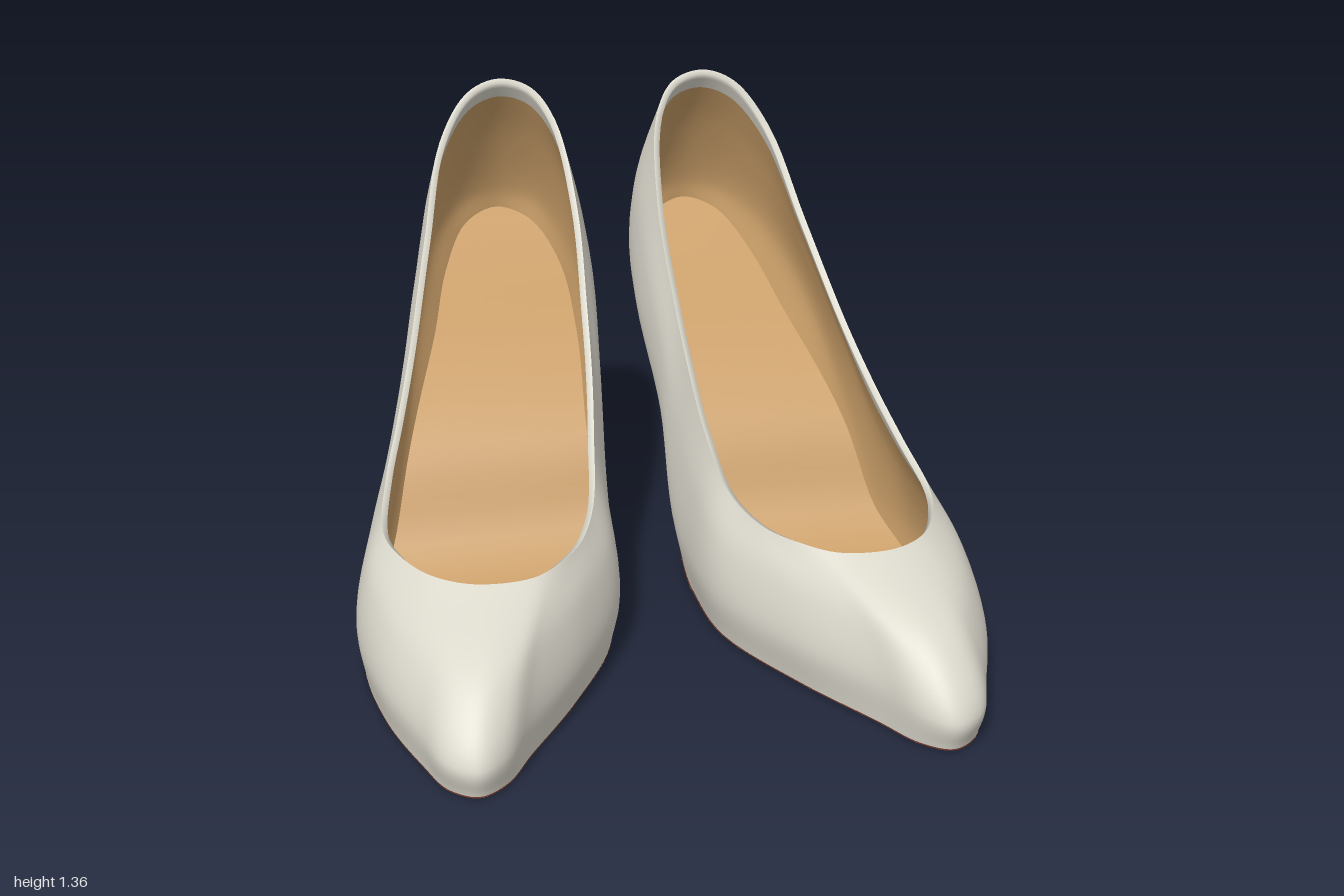
import * as THREE from 'three';

// Stations from toe to back: [z, outer x, outer y, inner x, inner y]
const FEATHER = [
  [0.98, 0.61, 0.009, 0.61, 0.009], [0.935, 0.68, 0.009, 0.535, 0.009], [0.81, 0.733, 0.009, 0.455, 0.009],
  [0.58, 0.803, 0.009, 0.305, 0.009], [0.28, 0.836, 0.009, 0.155, 0.009], [-0.02, 0.78, 0.009, 0.125, 0.009],
  [-0.16, 0.715, 0.075, 0.12, 0.075], [-0.31, 0.645, 0.345, 0.122, 0.345], [-0.565, 0.54, 0.57, 0.095, 0.57],
  [-0.80, 0.475, 0.73, 0.10, 0.73], [-0.95, 0.395, 0.84, 0.175, 0.84], [-1, 0.285, 0.88, 0.285, 0.88]];
const LOW = [
  [1.0, 0.61, 0.09, 0.61, 0.09], [0.955, 0.69, 0.10, 0.535, 0.10], [0.82, 0.742, 0.12, 0.45, 0.12],
  [0.58, 0.82, 0.13, 0.28, 0.13], [0.28, 0.853, 0.14, 0.13, 0.14], [-0.02, 0.80, 0.15, 0.10, 0.16],
  [-0.15, 0.735, 0.21, 0.09, 0.22], [-0.29, 0.67, 0.45, 0.085, 0.46], [-0.56, 0.592, 0.72, 0.057, 0.73],
  [-0.80, 0.515, 0.86, 0.085, 0.86], [-0.945, 0.41, 0.935, 0.165, 0.935], [-0.985, 0.285, 0.96, 0.285, 0.96]];
const HIGH = [
  [0.87, 0.58, 0.25, 0.58, 0.25], [0.835, 0.655, 0.25, 0.50, 0.25], [0.72, 0.715, 0.257, 0.415, 0.257],
  [0.51, 0.787, 0.265, 0.27, 0.27], [0.25, 0.82, 0.28, 0.145, 0.29], [0, 0.78, 0.31, 0.115, 0.36],
  [-0.13, 0.73, 0.40, 0.10, 0.45], [-0.27, 0.665, 0.60, 0.085, 0.65], [-0.52, 0.58, 0.87, 0.07, 0.90],
  [-0.74, 0.51, 1.04, 0.095, 1.06], [-0.85, 0.41, 1.14, 0.18, 1.15], [-0.885, 0.29, 1.175, 0.29, 1.175]];
const RIM = [
  [0.565, 0.487, 0.375, 0.487, 0.375], [0.547, 0.575, 0.373, 0.40, 0.375], [0.48, 0.66, 0.37, 0.325, 0.375],
  [0.36, 0.725, 0.367, 0.245, 0.375], [0.2, 0.765, 0.375, 0.185, 0.41], [0.02, 0.737, 0.45, 0.152, 0.52],
  [-0.11, 0.69, 0.56, 0.133, 0.65], [-0.26, 0.635, 0.71, 0.12, 0.80], [-0.48, 0.56, 0.96, 0.11, 1.04],
  [-0.665, 0.487, 1.20, 0.142, 1.25], [-0.737, 0.395, 1.325, 0.205, 1.335], [-0.755, 0.30, 1.36, 0.30, 1.36]];

// Where the heel breast meets the sole on each side, around the outline
const HEEL_OUTER = 8.2 / 22, HEEL_INNER = 7.9 / 22;
const TIP = { x: 0.30, z: -0.713, r: 0.033 };
const lerp = THREE.MathUtils.lerp;

// Closed curve: toe, outer side, back, inner side
function outline(stations) {
  const outer = stations.map(([z, x, y]) => new THREE.Vector3(x, y, z));
  const inner = stations.slice(1, -1).reverse().map(([z, , , x, y]) => new THREE.Vector3(x, y, z));
  return new THREE.CatmullRomCurve3([...outer, ...inner], true);
}
const outlines = [FEATHER, LOW, HIGH, RIM].map(outline);

function feather(u) {
  const p = outlines[0].getPoint((u + 1) % 1);
  p.y = Math.max(p.y, 0.009);
  return p;
}

// Underside of the sole: thin at the toe, thicker under the arch
function soleBottom(u) {
  const p = feather(u);
  p.y -= lerp(0.004, 0.012, THREE.MathUtils.smoothstep(Math.abs(u), 0.17, 0.24));
  p.y = Math.max(p.y, 0);
  return p;
}

// Point on the upper: u runs around the foot, v from sole to rim
function upperPoint(u, v) {
  const w = (u + 1) % 1;
  const column = outlines.map((c, i) => (i === 0 ? feather(w) : c.getPoint(w)));
  return new THREE.CatmullRomCurve3(column).getPoint(v);
}

// Same surface moved inward by the leather thickness
function liningPoint(u, v) {
  const e = 0.004;
  const du = upperPoint(u + e, v).sub(upperPoint(u - e, v));
  const dv = upperPoint(u, Math.min(1, v + e)).sub(upperPoint(u, Math.max(0, v - e)));
  return upperPoint(u, v).addScaledVector(du.cross(dv).normalize(), -0.018);
}

// Heel wall: s runs outer front, back, inner front; t from tip to seat
function heelPoint(s, t) {
  const top = feather(lerp(HEEL_OUTER, 1 - HEEL_INNER, s));
  const a = lerp(-30, 230, s) * Math.PI / 180;
  const front = Math.abs(2 * s - 1);
  const fullness = 1 + 1.3 * Math.sin(Math.PI * front) ** 2 * (1 - t);
  const flare = Math.pow(t, 2.6 + 5.4 * front ** 4) * fullness;
  return new THREE.Vector3(
    lerp(TIP.x + TIP.r * Math.cos(a), top.x, flare),
    lerp(0.025, top.y, t),
    lerp(TIP.z - TIP.r * Math.sin(a), top.z, flare));
}

// Surface grid from a rule; closed grids share their first and last column
function grid(cols, rows, rule, closed = false) {
  const pos = [], index = [], n = closed ? cols : cols + 1;
  for (let j = 0; j <= rows; j++)
    for (let i = 0; i < n; i++) pos.push(...rule(i / cols, j / rows).toArray());
  for (let j = 0; j < rows; j++)
    for (let i = 0; i < cols; i++) {
      const k = (i + 1) % n, a = j * n + i, b = j * n + k, c = b + n, d = a + n;
      index.push(a, b, c, a, c, d);
    }
  const g = new THREE.BufferGeometry();
  g.setAttribute('position', new THREE.Float32BufferAttribute(pos, 3));
  g.setIndex(index);
  g.computeVertexNormals();
  return g;
}

function mirrored(geometry) {
  const g = geometry.clone().scale(-1, 1, 1), ix = g.index;
  for (let i = 0; i < ix.count; i += 3) {
    const b = ix.getX(i + 1);
    ix.setX(i + 1, ix.getX(i + 2));
    ix.setX(i + 2, b);
  }
  return g;
}

export function createModel() {
  const material = (name, color) => {
    const m = new THREE.MeshStandardMaterial({ color, side: THREE.DoubleSide });
    m.name = name;
    return m;
  };
  const leather = material('pale grey leather', 0xdcd9cd);
  const tan = material('tan lining', 0xc99e68);
  const trim = material('dark red trim', 0x71382e);

  const parts = [];
  const part = (name, mat, geometry) => parts.push({ name, mat, geometry });

  // Upper, with its folded rim and lining
  part('upper', leather, grid(132, 24, upperPoint, true));
  part('rimFold', leather, grid(132, 4,
    (u, j) => (j === 0 ? upperPoint(u, 1) : liningPoint(u, Math.min(1, lerp(1.03, 0.91, j)))), true));
  part('lining', tan, grid(132, 18, (u, j) => liningPoint(u, 0.91 * (1 - j)), true));

  // Insole spanning the lining walls, padded where the arch starts to rise
  part('insole', tan, grid(66, 6, (i, w) => {
    const u = i / 2;
    const v = 0.06 + 0.14 * Math.exp(-(((u - 0.28) / 0.06) ** 2));
    return liningPoint(u, v).lerp(liningPoint(1 - u, v), w);
  }));

  // Outsole and its thin edge
  part('sole', tan, grid(66, 6, (i, w) =>
    soleBottom(-i * HEEL_INNER).lerp(soleBottom(i * HEEL_OUTER), w)));
  part('soleEdge', trim, grid(110, 1, (i, j) => {
    const u = lerp(-HEEL_INNER, HEEL_OUTER, i);
    return j === 0 ? soleBottom(u) : feather(u);
  }));

  // Heel wall, breast and tip
  part('heel', leather, grid(44, 24, heelPoint));
  part('heelBreast', tan, grid(6, 24, (i, t) => heelPoint(1, t).lerp(heelPoint(0, t), i)));
  part('heelTip', trim,
    new THREE.CylinderGeometry(TIP.r + 0.001, TIP.r, 0.026, 24).translate(TIP.x, 0.013, TIP.z));

  const model = new THREE.Group();
  model.name = 'pairOfHeels';
  for (const side of ['left', 'right']) {
    const shoe = new THREE.Group();
    shoe.name = side + 'Shoe';
    for (const { name, mat, geometry } of parts) {
      const mesh = new THREE.Mesh(side === 'left' ? geometry : mirrored(geometry), mat);
      mesh.name = name;
      shoe.add(mesh);
    }
    // The right shoe stands turned out a touch less
    if (side === 'right') {
      shoe.rotation.y = 0.015;
      shoe.position.set(-0.01, 0, -0.007);
    }
    model.add(shoe);
  }
  return model;
}
